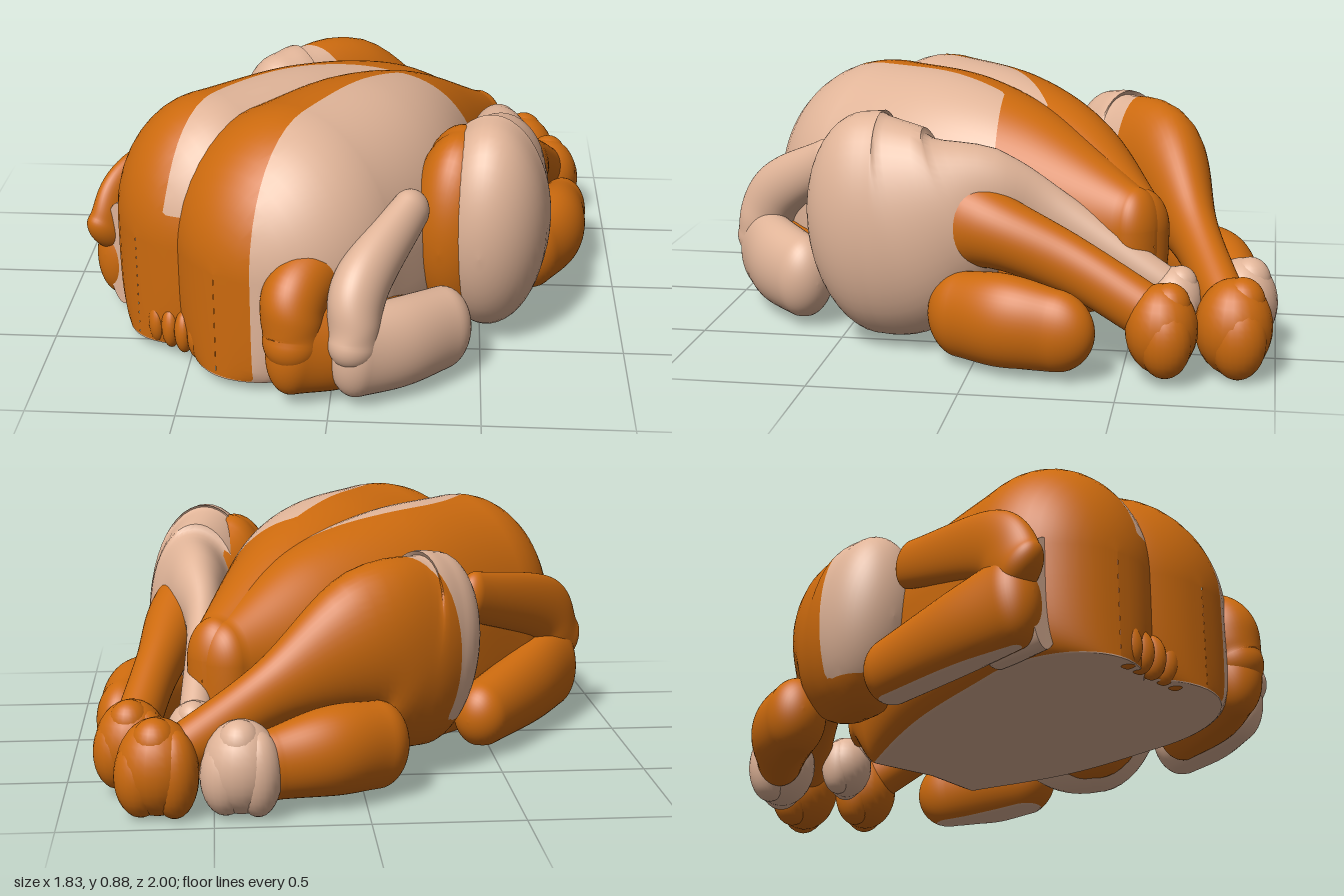
import * as THREE from 'three';
import { toCreasedNormals } from 'three/addons/utils/BufferGeometryUtils.js';

const FLOOR = 0.04;
const roasted = new THREE.MeshStandardMaterial({ color: 0xcc6a0e });
roasted.name = 'roasted skin';
const pale = new THREE.MeshStandardMaterial({ color: 0xe0b498 });
pale.name = 'pale skin';

// Loft through [x, y, z, halfWidth, halfHeight] stations, with domed ends and a flat underside.
function loft(stations, { cap = [1, 1], skirt = false, steps = 30, sides = 48 } = {}) {
  const path = new THREE.CatmullRomCurve3(stations.map(s => new THREE.Vector3(s[0], s[1], s[2])), false, 'catmullrom', 0.5);
  const size = new THREE.CatmullRomCurve3(stations.map(s => new THREE.Vector3(s[3], s[4], 0)), false, 'catmullrom', 0.5);
  const rings = [], dome = 12;
  for (let i = 0; i < dome; i++) {
    const a = (i / dome) * Math.PI / 2;
    rings.push([0, Math.sin(a), -Math.cos(a) * cap[0]]);
  }
  for (let i = 0; i <= steps; i++) rings.push([i / steps, 1, 0]);
  for (let i = dome - 1; i >= 0; i--) {
    const a = (i / dome) * Math.PI / 2;
    rings.push([1, Math.sin(a), Math.cos(a) * cap[1]]);
  }
  const pos = [], index = [], up = new THREE.Vector3(0, 1, 0);
  rings.forEach(([t, shrink, push], r) => {
    const T = path.getTangent(t), S = new THREE.Vector3().crossVectors(T, up).normalize();
    const U = new THREE.Vector3().crossVectors(S, T), wh = size.getPoint(t);
    const c = path.getPoint(t).addScaledVector(T, push * wh.x);
    const k = Math.max(shrink, 0.001);
    for (let j = 0; j < sides; j++) {
      const a = (j / sides) * Math.PI * 2, cs = Math.cos(a), sn = Math.sin(a);
      const p = c.clone();
      if (skirt && sn < 0) {
        const depth = Math.min(c.y - FLOOR, wh.y * 1.15);
        p.addScaledVector(S, wh.x * k * Math.sign(cs) * Math.sqrt(Math.abs(cs)));
        p.y -= depth * Math.min(1, 1.08 * Math.sqrt(-sn));
      } else {
        p.addScaledVector(S, wh.x * k * cs).addScaledVector(U, wh.y * k * sn);
      }
      pos.push(p.x, Math.max(p.y, FLOOR), p.z);
      if (r < rings.length - 1) {
        const n = (j + 1) % sides, b = r * sides, d = b + sides;
        index.push(b + j, d + j, b + n, d + j, d + n, b + n);
      }
    }
  });
  const geo = new THREE.BufferGeometry();
  geo.setAttribute('position', new THREE.Float32BufferAttribute(pos, 3));
  geo.setIndex(index);
  return geo;
}

// Cut the faces cleanly where rule(x, y, z) changes sign: positive is pale, negative roasted.
function paint(geo, rule) {
  const attr = geo.attributes.position, idx = geo.index.array, sets = [[], []];
  for (let i = 0; i < idx.length; i += 3) {
    const tri = [0, 1, 2].map(k => {
      const v = new THREE.Vector3().fromBufferAttribute(attr, idx[i + k]);
      return { v, f: rule(v.x, v.y, v.z) };
    });
    [-1, 1].forEach((sign, s) => {
      const poly = [];
      tri.forEach((a, k) => {
        const b = tri[(k + 1) % 3];
        if (a.f * sign > 0 || (a.f === 0 && sign > 0)) poly.push(a.v);
        if (a.f * b.f < 0) poly.push(a.v.clone().lerp(b.v, a.f / (a.f - b.f)));
      });
      for (let k = 2; k < poly.length; k++) {
        for (const v of [poly[0], poly[k - 1], poly[k]]) sets[s].push(v.x, v.y, v.z);
      }
    });
  }
  const out = new THREE.BufferGeometry();
  out.setAttribute('position', new THREE.Float32BufferAttribute(sets.flat(), 3));
  out.addGroup(0, sets[0].length / 3, 0);
  out.addGroup(sets[0].length / 3, sets[1].length / 3, 1);
  return out;
}

export function createModel() {
  const model = new THREE.Group();
  model.name = 'roastBirds';
  const both = [roasted, pale];
  // Creasing merges points on a coarse grid, so it is done at a larger scale.
  const add = (name, geo, material, parent = model) => {
    const smooth = toCreasedNormals(geo.scale(100, 100, 100), 0.9).scale(0.01, 0.01, 0.01);
    const mesh = new THREE.Mesh(smooth, material);
    mesh.name = name;
    parent.add(mesh);
  };
  const ball = (name, material, parent, [x, y, z], [a, b, c]) =>
    add(name, new THREE.SphereGeometry(1, 24, 16).scale(a, b, c).translate(x, y, z), material, parent);
  const underside = (x, y) => 0.045 - y;

  // Breast lobes, converging at the tail
  const bodyOptions = { skirt: true, steps: 60, sides: 80, cap: [1, 0.8] };
  add('rightBreast', paint(loft([
    [-0.44, 0.42, 0.29, 0.35, 0.44], [-0.12, 0.42, -0.02, 0.33, 0.43],
    [0.2, 0.42, -0.3, 0.24, 0.34], [0.46, 0.43, -0.53, 0.11, 0.14],
  ], bodyOptions), (x, y, z) => {
    const t = (0.16 - x + z + 0.18) / 1.49;
    const off = ((0.16 - x) * 0.76 - (z + 0.18) * 0.73) / 1.054;
    const stripe = 0.15 * Math.sin(Math.PI * THREE.MathUtils.clamp(t, 0, 1)) - off;
    return Math.max(underside(x, y), Math.min(y - 0.54, t, stripe));
  }), both);
  add('leftBreast', paint(loft([
    [-0.15, 0.42, 0.45, 0.42, 0.46], [0.08, 0.42, 0.12, 0.39, 0.45],
    [0.28, 0.42, -0.2, 0.26, 0.35], [0.49, 0.44, -0.52, 0.1, 0.14],
  ], bodyOptions), (x, y, z) =>
    Math.max(underside(x, y), Math.min(z + 0.03, x - 0.17 + 0.72 * z - 0.25 * z * z))
  ), both);

  // Folds of neck skin
  for (let i = 0; i < 5; i++) {
    ball('neckFold', roasted, model, [-0.62 + i * 0.05, 0.11, 0.55 + i * 0.035], [0.035, 0.08, 0.05]);
  }

  // Left legs: a pale one and a roasted one through it
  add('paleLeftLeg', loft([
    [0.52, 0.43, 0.36, 0.205, 0.39], [0.535, 0.44, 0.26, 0.205, 0.385], [0.56, 0.49, 0.1, 0.165, 0.3],
    [0.55, 0.54, -0.05, 0.105, 0.17], [0.53, 0.48, -0.25, 0.06, 0.09], [0.56, 0.26, -0.64, 0.055, 0.06],
  ], { cap: [1.2, 1] }), pale);
  add('roastedLeftLeg', loft([
    [0.42, 0.42, 0.37, 0.17, 0.36], [0.46, 0.43, 0.26, 0.17, 0.34], [0.61, 0.46, 0, 0.12, 0.15],
    [0.69, 0.36, -0.32, 0.08, 0.1], [0.76, 0.22, -0.6, 0.075, 0.09],
  ], { cap: [1.25, 1] }), roasted);
  add('leftLowerThigh', paint(loft([
    [0.69, 0.17, 0.03, 0.11, 0.15], [0.77, 0.18, -0.12, 0.12, 0.16], [0.81, 0.17, -0.28, 0.095, 0.14],
  ], { cap: [1.2, 1.5] }), underside), both);

  // Right legs
  add('roastedRightLeg', paint(loft([
    [-0.24, 0.43, -0.4, 0.185, 0.34], [-0.15, 0.45, -0.48, 0.185, 0.335], [0, 0.49, -0.59, 0.155, 0.26],
    [0.3, 0.37, -0.71, 0.085, 0.115], [0.62, 0.2, -0.84, 0.075, 0.085],
  ]), (x, y, z) => Math.min(y - 0.2, z - 0.44 * x + 0.405)), both);
  add('rightLowerThigh', loft([
    [-0.04, 0.18, -0.71, 0.11, 0.15], [0.12, 0.19, -0.8, 0.12, 0.15], [0.3, 0.17, -0.86, 0.09, 0.12],
  ]), roasted);

  // Knobbly leg ends
  const legEnd = (name, material, [x, y, z], r) => {
    const end = new THREE.Group();
    end.name = name;
    model.add(end);
    ball('knuckle', material, end, [x, y, z], [r * 0.98, r * 1.2, r * 0.95]);
    ball('innerKnob', material, end, [x - r * 0.4, y - r * 0.12, z - r * 0.25], [r * 0.6, r * 1.1, r * 0.65]);
    ball('outerKnob', material, end, [x + r * 0.4, y - r * 0.2, z - r * 0.12], [r * 0.64, r * 1.0, r * 0.7]);
    ball('topKnob', material, end, [x + r * 0.05, y + r * 0.65, z - r * 0.2], [r * 0.55, r * 0.6, r * 0.55]);
  };
  legEnd('roastedLeftLegEnd', roasted, [0.77, 0.18, -0.63], 0.125);
  legEnd('paleLeftLegEnd', pale, [0.56, 0.21, -0.66], 0.1);
  legEnd('roastedRightLegEnd', roasted, [0.68, 0.17, -0.86], 0.135);
  legEnd('paleRightLegEnd', pale, [0.41, 0.17, -0.88], 0.13);

  // Left wings folded at the front
  const wing = (name, arm, armMaterial, tip, tipMaterial) => {
    const g = new THREE.Group();
    g.name = name;
    model.add(g);
    add('upperWing', arm, armMaterial, g);
    add('wingTip', loft(tip, { cap: [1, 1.2] }), tipMaterial, g);
  };
  wing('paleLeftWing',
    loft([[0.36, 0.18, 0.67, 0.105, 0.15], [0.23, 0.19, 0.79, 0.11, 0.16], [0.09, 0.2, 0.885, 0.095, 0.16]]), pale,
    [[0.08, 0.24, 0.9, 0.085, 0.1], [0.1, 0.42, 0.83, 0.09, 0.11], [0.25, 0.58, 0.6, 0.06, 0.08]], pale);
  wing('roastedLeftWing',
    loft([[0.24, 0.17, 0.68, 0.09, 0.13], [0.05, 0.18, 0.81, 0.1, 0.15], [-0.11, 0.21, 0.88, 0.1, 0.17]]), roasted,
    [[-0.12, 0.24, 0.89, 0.1, 0.1], [-0.1, 0.4, 0.83, 0.105, 0.12], [0.1, 0.5, 0.6, 0.05, 0.07]], roasted);

  // Right wing lying along the side, with pale skin showing in front
  wing('roastedRightWing',
    paint(loft([[-0.8, 0.21, 0.2, 0.095, 0.17], [-0.66, 0.18, 0, 0.105, 0.15], [-0.46, 0.15, -0.26, 0.1, 0.12]]), underside), both,
    [[-0.84, 0.3, 0.23, 0.065, 0.11], [-0.75, 0.45, 0.12, 0.055, 0.12], [-0.43, 0.57, -0.21, 0.05, 0.09]], roasted);
  add('paleRightWing', loft([[-0.79, 0.24, 0.3, 0.07, 0.2], [-0.68, 0.24, 0.14, 0.08, 0.21]]), pale);

  return model;
}
